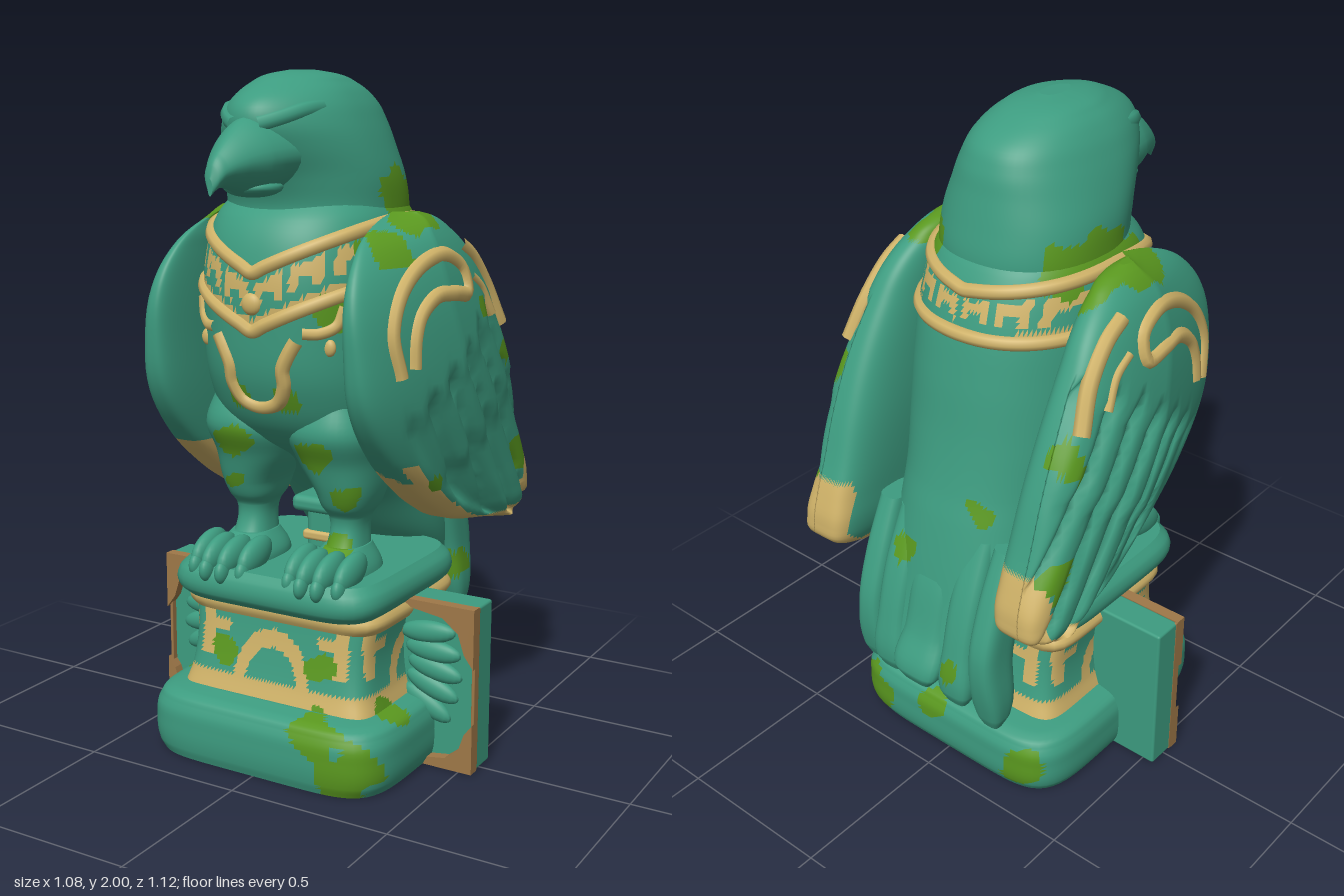
import * as THREE from 'three';
import { RoundedBoxGeometry } from 'three/addons/geometries/RoundedBoxGeometry.js';

const mat = (name, color) => Object.assign(new THREE.MeshStandardMaterial({ color }), { name });
const jade = mat('jade stone', 0x3d9c80), gold = mat('gold inlay', 0xcfb268);
const moss = mat('moss', 0x5a981f), bronze = mat('bronze trim', 0x9f7848);
const palette = [jade, gold, moss];

// moss patches: x, y, z, radius
const patches = [
  [0.26, 1.63, 0, 0.09], [0.24, 1.62, -0.12, 0.09], [0.2, 1.62, -0.19, 0.07], [0.31, 1.6, 0.04, 0.08], [0.32, 1.52, 0.22, 0.07],
  [-0.27, 1.62, -0.02, 0.09], [-0.25, 1.62, -0.13, 0.09], [-0.32, 1.6, 0.05, 0.1], [-0.27, 1.58, 0.15, 0.05], [0.21, 1.35, 0.3, 0.05],
  [-0.14, 0.96, 0.26, 0.05], [0.13, 0.94, 0.26, 0.05], [-0.17, 0.83, 0.2, 0.045], [0.2, 0.82, 0.2, 0.045],
  [0.2, 0.17, 0.4, 0.085], [0.3, 0.06, 0.38, 0.09], [0.36, 0.2, 0.2, 0.06], [0.08, 1.1, 0.35, 0.05], [-0.08, 1.1, 0.35, 0.05],
  [-0.36, 0.19, 0.12, 0.05], [-0.3, 0.1, -0.42, 0.08], [0.3, 0.09, -0.4, 0.08], [0.05, 0.15, -0.43, 0.06],
  [-0.46, 0.87, -0.43, 0.06], [-0.42, 1.2, -0.35, 0.05], [0.46, 0.87, -0.43, 0.06], [0.42, 1.19, -0.35, 0.05], [0.45, 1.33, -0.14, 0.03],
  [0.45, 0.85, 0.07, 0.04], [0.22, 0.46, -0.42, 0.06], [0.12, 0.75, -0.46, 0.05], [-0.13, 0.95, -0.41, 0.05], [-0.12, 0.45, -0.52, 0.04],
  [-0.17, 0.65, 0.27, 0.05], [0.18, 0.67, 0.22, 0.06], [0.16, 0.32, 0.29, 0.045], [-0.16, 0.32, 0.29, 0.045],
];
const mossy = (x, y, z) => patches.some(([a, b, c, r]) =>
  Math.hypot(x - a, y - b, z - c) < r * (1 + 0.2 * Math.sin(x * 47 + y * 31) + 0.15 * Math.sin(z * 53 - y * 39)));

// Smooth cross-section lookup: each row is [y, zFront, zBack, xMin, xMax, squareness]
function section(rows, n) {
  const it = new THREE.CubicInterpolant(rows.map(r => r[0]), rows.flatMap(r => [...r.slice(1, 5), r[5] ?? n]), 5);
  return y => {
    const [zf, zb, x0, x1, k] = it.evaluate(y);
    return { zc: (zf + zb) / 2, hz: (zf - zb) / 2, xc: (x0 + x1) / 2, hx: (x1 - x0) / 2, n: k };
  };
}
function ringPoint(s, a, grow = 0) {
  const c = Math.cos(a), d = Math.sin(a), r = (Math.abs(c) ** s.n + Math.abs(d) ** s.n) ** (-1 / s.n);
  return [s.xc + (s.hx + grow) * r * c, s.zc + (s.hz + grow) * r * d];
}
// Stacks superellipse rings; tweak moves a vertex, rule picks the colour of a face
function loft(rows, { n = 2, k = 6, sides = 48, tweak, rule } = {}) {
  const at = section(rows, n), pos = [], idx = [[], [], []], ys = [];
  rows.slice(1).forEach((r, i) => { for (let j = 0; j < k; j++) ys.push(rows[i][0] + (r[0] - rows[i][0]) * j / k); });
  ys.push(rows.at(-1)[0]);
  const addRing = y => {
    const s = at(y);
    for (let j = 0; j < sides; j++) {
      const [x, z] = ringPoint(s, j / sides * Math.PI * 2);
      pos.push(...(tweak ? tweak(x, y, z, s) : [x, y, z]));
    }
  };
  const tri = (...t) => {
    const m = [0, 1, 2].map(q => (pos[t[0] * 3 + q] + pos[t[1] * 3 + q] + pos[t[2] * 3 + q]) / 3);
    idx[mossy(...m) ? 2 : rule ? rule(...m) : 0].push(...t);
  };
  ys.forEach(addRing);
  for (let i = 0; i < ys.length - 1; i++) for (let j = 0; j < sides; j++) {
    const a = i * sides + j, b = i * sides + (j + 1) % sides;
    tri(a, a + sides, b); tri(b, a + sides, b + sides);
  }
  for (const [y, top] of [[ys[0], false], [ys.at(-1), true]]) {
    const o = pos.length / 3, s = at(y);
    addRing(y); pos.push(s.xc, y, s.zc);
    for (let j = 0; j < sides; j++) {
      const a = o + j, b = o + (j + 1) % sides;
      top ? tri(a, o + sides, b) : tri(a, b, o + sides);
    }
  }
  const g = new THREE.BufferGeometry();
  g.setAttribute('position', new THREE.Float32BufferAttribute(pos, 3));
  g.setIndex(idx.flat());
  let start = 0;
  idx.forEach((l, i) => { if (l.length) g.addGroup(start, l.length, i); start += l.length; });
  g.computeVertexNormals();
  return g;
}
const mirrorRows = (rows, s) => s > 0 ? rows : rows.map(([y, a, b, x0, x1, n]) => [y, a, b, -x1, -x0, n]);

const BODY_N = 2.3;
const bodyRows = [[0.45, -0.34, -0.52, -0.21, 0.21], [0.6, -0.18, -0.485, -0.24, 0.24], [0.75, -0.05, -0.455, -0.25, 0.25],
  [0.88, 0.1, -0.425, -0.26, 0.26], [0.97, 0.25, -0.4, -0.28, 0.28], [1.12, 0.345, -0.37, -0.3, 0.3], [1.3, 0.375, -0.345, -0.3, 0.3],
  [1.48, 0.37, -0.308, -0.29, 0.29], [1.6, 0.325, -0.258, -0.262, 0.262], [1.67, 0.25, -0.2, -0.22, 0.22]];
const bodyAt = section(bodyRows, BODY_N);
const upperCollar = (front, c) => front ? 1.46 + 0.13 * c : 1.55 + 0.04 * c;
const lowerCollar = (front, c) => front ? 1.3 + 0.14 * c : 1.435 + 0.005 * c;

const wingRows = [[0.665, -0.3, -0.44, 0.31, 0.455, 4], [0.7, -0.13, -0.52, 0.29, 0.475, 5], [0.76, 0.0, -0.535, 0.275, 0.48, 5],
  [0.85, 0.14, -0.515, 0.27, 0.48, 4.5], [0.95, 0.26, -0.48, 0.265, 0.48, 4], [1.1, 0.37, -0.43, 0.26, 0.48, 3.4], [1.25, 0.4, -0.365, 0.26, 0.47, 3],
  [1.4, 0.39, -0.28, 0.26, 0.445, 2.7], [1.5, 0.33, -0.21, 0.26, 0.415, 2.5], [1.56, 0.25, -0.14, 0.26, 0.385, 2.3],
  [1.6, 0.14, -0.07, 0.27, 0.35, 2], [1.615, 0.07, 0.0, 0.295, 0.325, 2]];
const wingAt = section(wingRows);
// the wing narrows towards its front edge
const wingTaper = (u, f) => 0.08 * Math.max(0, f) * (u + 1) / 2;
const wingX = (z, y) => {
  const s = wingAt(y), f = THREE.MathUtils.clamp((z - s.zc) / s.hz, -0.97, 0.97), u = (1 - Math.abs(f) ** s.n) ** (1 / s.n);
  return s.xc + s.hx * u - wingTaper(u, f);
};

export function createModel() {
  const model = new THREE.Group();
  const add = (name, geo, material = palette, p = [0, 0, 0]) => {
    const m = new THREE.Mesh(geo, material);
    m.name = name; m.position.set(...p); model.add(m);
    return m;
  };
  const tube = (name, pts, r, material, closed = false) => add(name, new THREE.TubeGeometry(
    new THREE.CatmullRomCurve3(pts.map(p => new THREE.Vector3(...p)), closed), pts.length * 6, r, 8, closed), material);
  const ball = (name, p, s, material = jade) => {
    const m = add(name, new THREE.SphereGeometry(1, 20, 14), material, p);
    m.scale.set(...s);
    return m;
  };
  const box = (name, w, h, d, r, p, material = jade) => add(name, new RoundedBoxGeometry(w, h, d, 2, r), material, p);

  // Pedestal
  add('baseSlab', loft([[0, 0.395, -0.405, -0.385, 0.385], [0.03, 0.405, -0.42, -0.4, 0.4], [0.1, 0.41, -0.425, -0.405, 0.405],
    [0.165, 0.4, -0.415, -0.395, 0.395], [0.195, 0.37, -0.38, -0.365, 0.365], [0.205, 0.32, -0.32, -0.32, 0.32]], { n: 6, sides: 140, k: 5 }));
  add('plinth', loft([[0.2, 0.315, -0.315, -0.325, 0.325], [0.25, 0.3, -0.3, -0.31, 0.31], [0.35, 0.28, -0.28, -0.3, 0.3], [0.46, 0.265, -0.265, -0.31, 0.31]], {
    n: 9, sides: 200, k: 8, rule: (x, y, z) => {
      const u = Math.abs(Math.abs(z) > 0.255 && Math.abs(x) < 0.28 ? x : z), e = Math.hypot(u / 0.13, (y - 0.24) / 0.17);
      return y < 0.255 || (e > 0.68 && e < 1) || (u > 0.205 && u < 0.25 && y > 0.3) || (u > 0.15 && u < 0.25 && y > 0.38 && y < 0.41) ? 1 : 0;
    } }));
  add('plinthMoulding', loft([[0.435, 0.275, -0.275, -0.315, 0.315], [0.455, 0.285, -0.283, -0.33, 0.33], [0.475, 0.285, -0.283, -0.33, 0.33],
    [0.495, 0.275, -0.27, -0.315, 0.315]], { n: 8, sides: 80, k: 2, rule: () => 1 }));
  add('perchSlab', loft([[0.485, 0.33, -0.265, -0.315, 0.315], [0.51, 0.35, -0.285, -0.34, 0.34], [0.56, 0.35, -0.285, -0.34, 0.34],
    [0.59, 0.33, -0.265, -0.315, 0.315]], { n: 6, sides: 100, k: 4 }));

  // Cross plate with carved feathers and corner brackets
  box('crossPlate', 1.08, 0.5, 0.095, 0.008, [0, 0.25, -0.015]);
  for (const s of [1, -1]) {
    for (const [t, size] of [[1, 1], [-1, 0.85]]) {
      const shape = new THREE.Shape([[0, 0], [0.24, 0], [0.2, 0.025], [0.1, 0.04], [0.05, 0.08], [0.03, 0.14], [0, 0.18]]
        .map(([x, y]) => new THREE.Vector2(s * (0.541 - x * size), 0.25 + t * (0.251 - y * size))));
      add('cornerBracket', new THREE.ExtrudeGeometry(shape, { depth: 0.035, bevelEnabled: false }), bronze, [0, 0, 0.03]);
    }
    box('plateEdge', 0.01, 0.5, 0.03, 0.003, [s * 0.536, 0.25, 0.037], bronze);
    for (let i = 0; i < 5; i++) {
      const f = ball('carvedFeather', [s * (0.38 + 0.025 * Math.sin(i * 0.8)), 0.4 - i * 0.055, 0.033], [0.09, 0.034, 0.025]);
      f.rotation.z = s * (0.1 - i * 0.15);
    }
  }
  box('plateFoot', 1.08, 0.012, 0.03, 0.003, [0, 0.006, 0.037], bronze);

  // Post between the legs
  box('post', 0.11, 0.18, 0.09, 0.025, [0, 0.66, -0.035]);
  box('postHead', 0.14, 0.05, 0.15, 0.02, [0, 0.735, -0.005]);
  box('postBand', 0.12, 0.03, 0.11, 0.01, [0, 0.625, -0.035], gold);

  // Body with the patterned necklace band
  add('body', loft(bodyRows, { n: BODY_N, k: 8, sides: 170, rule: (x, y, z) => {
    const s = bodyAt(y), front = z > s.zc, c = Math.min(1, Math.abs(x) / s.hx);
    const lo = lowerCollar(front, c), t = (y - lo) / (upperCollar(front, c) - lo);
    if (t < 0 || t > 1) return 0;
    const a = Math.abs((Math.abs(x) / 0.1 + 0.5) % 1 - 0.5);
    return t < 0.2 || (t > 0.32 && t < 0.82 && a > 0.1 && a < 0.32) || (t > 0.55 && t < 0.78 && a > 0.3) ? 1 : 0;
  } }));
  for (const [name, height] of [['upperNecklace', upperCollar], ['lowerNecklace', lowerCollar]]) {
    const pts = [];
    for (let i = 0; i < 48; i++) {
      const a = i / 48 * Math.PI * 2, y = height(Math.sin(a) > 0, Math.abs(Math.cos(a)));
      const [x, z] = ringPoint(bodyAt(y), a, -0.005);
      pts.push([x, y, z]);
    }
    tube(name, pts, 0.021, gold, true);
  }
  const chest = (x, y) => {
    const s = bodyAt(y);
    return [x, y, s.zc + s.hz * (1 - Math.abs(x / s.hx) ** BODY_N) ** (1 / BODY_N) - 0.006];
  };
  tube('pendant', [[-0.125, 1.28], [-0.105, 1.245], [-0.085, 1.2], [-0.083, 1.15], [-0.055, 1.1], [0, 1.082], [0.055, 1.1], [0.083, 1.15],
    [0.085, 1.2], [0.105, 1.245], [0.125, 1.28]].map(p => chest(...p)), 0.022, gold);
  for (const s of [1, -1]) {
    tube('chestOrnament', [[0.23, 1.37], [0.215, 1.32], [0.18, 1.3], [0.14, 1.3]].map(([x, y]) => chest(s * x, y)), 0.018, gold);
    ball('chestStud', chest(s * 0.2, 1.26), [0.02, 0.025, 0.014], gold);
  }
  ball('necklaceBead', chest(0, 1.375), [0.032, 0.032, 0.02], gold);

  // Tail feathers
  const tailFeather = (x, w, low, zEnd) => add('tailFeather', loft([[low, zEnd + 0.055, zEnd + 0.015, x - w * 0.32, x + w * 0.32],
    [low + 0.04, zEnd + 0.08, zEnd - 0.002, x - w / 2, x + w / 2], [0.52, -0.38, -0.515, x - w / 2, x + w / 2],
    [0.68, -0.33, -0.472, x - w / 2, x + w / 2], [0.85, -0.28, -0.4, x - w * 0.42, x + w * 0.42]], { n: 3.5, sides: 32, k: 6 }));
  tailFeather(0, 0.16, 0.36, -0.56);
  for (const s of [1, -1]) tailFeather(s * 0.13, 0.11, 0.33, -0.53);
  tailFeather(0.22, 0.09, 0.31, -0.5);
  tailFeather(-0.22, 0.09, 0.255, -0.48);

  // Head
  add('head', loft([[1.55, 0.31, -0.245, -0.25, 0.25], [1.63, 0.3, -0.245, -0.25, 0.25], [1.71, 0.33, -0.23, -0.245, 0.245],
    [1.79, 0.38, -0.212, -0.225, 0.225], [1.86, 0.405, -0.195, -0.2, 0.2], [1.92, 0.38, -0.16, -0.17, 0.17],
    [1.965, 0.3, -0.085, -0.13, 0.13], [1.99, 0.225, -0.01, -0.085, 0.085], [2.0, 0.16, 0.05, -0.03, 0.03]], {
    n: 2.3, sides: 72, tweak: (x, y, z, s) => {
      const f = Math.max(0, (z - s.zc) / s.hz);
      return [x * (1 - f * f * (0.15 + 0.18 * THREE.MathUtils.smoothstep(y, 1.6, 1.78))), y, z];
    } }));
  const beak = loft([[0.28, -1.67, -1.885, -0.13, 0.13], [0.4, -1.665, -1.875, -0.1, 0.1], [0.47, -1.685, -1.835, -0.068, 0.068],
    [0.525, -1.695, -1.787, -0.038, 0.038], [0.55, -1.685, -1.757, -0.024, 0.024], [0.562, -1.675, -1.72, -0.008, 0.008]], { n: 1.6, sides: 32 });
  add('beak', beak.rotateX(Math.PI / 2));
  ball('lowerBeak', [0, 1.69, 0.36], [0.08, 0.028, 0.085]);

  for (const s of [1, -1]) {
    tube('brow', [[s * 0.035, 1.855, 0.39], [s * 0.08, 1.872, 0.35], [s * 0.12, 1.893, 0.285], [s * 0.14, 1.9, 0.2]], 0.024, jade);
    ball('eye', [s * 0.11, 1.838, 0.305], [0.024, 0.018, 0.024]);

    // Wing with carved feathers, gold hem and shoulder scrolls
    add('wing', loft(mirrorRows(wingRows, s), { sides: 130, k: 5, tweak: (x, y, z, c) => {
      const u = s * (x - c.xc) / c.hx, f = (z - c.zc) / c.hz, px = x - s * wingTaper(u, f);
      if (u < 0.2) return [px, y, z];
      const wave = Math.abs(Math.sin((z * 0.83 - y * 0.56) * Math.PI / 0.1)), along = y * 0.83 + z * 0.55;
      const edge = THREE.MathUtils.smoothstep(c.zc + c.hz - z, 0.08, 0.16);
      const tier = THREE.MathUtils.smoothstep(1.04 - 0.05 * wave - along, 0, 0.05), tier2 = THREE.MathUtils.smoothstep(0.8 - 0.06 * wave - along, 0, 0.05);
      return [px - s * edge * (tier * (0.006 + 0.034 * (1 - wave) ** 2) + tier2 * 0.01), y, z];
    }, rule: (x, y, z) => {
      const c = wingAt(y), outer = s * (x - c.xc), depth = c.zc + c.hz - z;
      const hem = (depth < 0.075 && y < 0.87 - outer * 0.5) || (outer > 0.01 && depth < 0.07 && y < 0.93);
      return hem || y < 0.69 || (y - 0.66) + (z + 0.53) * 0.8 < 0.1 || (z < -0.465 && y < 0.9 && outer > -0.09) ? 1 : 0;
    } }));
    const scroll = (pts, r) => tube('wingScroll', pts.map(([z, y]) => [s * (wingX(z, y) - 0.008), y, z]), r, gold);
    scroll([[0.27, 1.19], [0.29, 1.31], [0.24, 1.41], [0.14, 1.48], [0.03, 1.5], [-0.05, 1.455], [-0.05, 1.39], [0.03, 1.395],
      [0.11, 1.395], [0.18, 1.35], [0.21, 1.29], [0.22, 1.21]], 0.024);
    scroll([[-0.1, 1.52], [-0.17, 1.48], [-0.25, 1.39], [-0.31, 1.27]], 0.025);
    scroll([[-0.11, 1.43], [-0.17, 1.39], [-0.22, 1.31]], 0.016);
    ball('wingBoss', [s * 0.405, 1.44, 0.05], [0.025, 0.025, 0.05]);

    // Leg and foot
    add('leg', loft(mirrorRows([[0.6, 0.24, 0.04, 0.09, 0.23], [0.66, 0.19, 0.04, 0.105, 0.215], [0.74, 0.175, 0.03, 0.105, 0.215],
      [0.775, 0.2, 0.0, 0.085, 0.235], [0.82, 0.22, -0.02, 0.07, 0.25], [0.91, 0.25, -0.03, 0.02, 0.262], [1.0, 0.29, -0.02, 0.005, 0.275],
      [1.1, 0.26, 0, 0.07, 0.24]], s), { n: 2.5, sides: 48 }));
    add('foot', loft(mirrorRows([[0.57, 0.31, 0.0, 0.06, 0.26], [0.61, 0.29, 0.01, 0.065, 0.25], [0.66, 0.2, 0.04, 0.1, 0.22]], s), { n: 2.5, sides: 48 }));
    for (let i = 0; i < 4; i++) {
      const x = 0.08 + i * 0.054, z = i % 3 ? 0.275 : 0.25;
      const toe = ball('toe', [s * x, 0.615, z], [0.03, 0.05, 0.085]);
      toe.rotation.x = 0.3;
      ball('claw', [s * x, 0.58, z + 0.065], [0.02, 0.035, 0.03]);
    }
  }
  return model;
}
